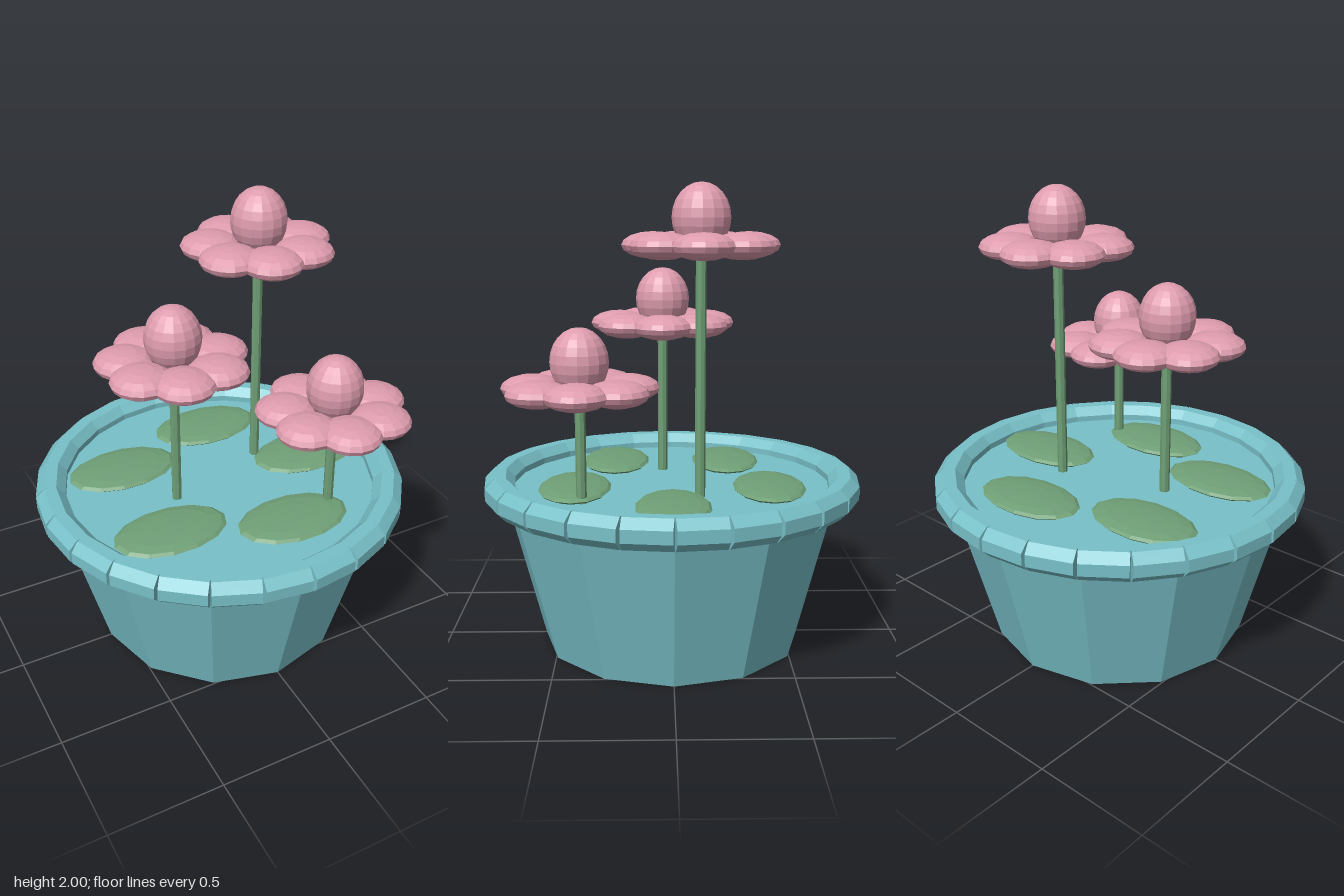
import * as THREE from 'three';

const flat = (name, color) => {
  const m = new THREE.MeshStandardMaterial({ color, flatShading: true });
  m.name = name;
  return m;
};

export function createModel() {
  const teal = flat('teal', 0x78c0c8);
  const pink = flat('pink', 0xde9cae);
  const green = flat('green', 0x6f9f76);
  const model = new THREE.Group();
  model.name = 'flowerPot';

  const add = (parent, name, geometry, material, x, y, z) => {
    const mesh = new THREE.Mesh(geometry, material);
    mesh.name = name;
    mesh.position.set(x, y, z);
    parent.add(mesh);
    return mesh;
  };
  const ellipsoid = (rx, ry, rz, w, h) => new THREE.SphereGeometry(1, w, h).scale(rx, ry, rz);

  // Tapered pot, its flat top is the bed
  const soilY = 0.705;
  add(model, 'pot', new THREE.CylinderGeometry(0.755, 0.57, soilY, 12), teal, 0, soilY / 2, 0);

  // Rim made of short octagonal bars set in a ring
  const rim = new THREE.Group();
  rim.name = 'rim';
  model.add(rim);
  const barGeometry = new THREE.CylinderGeometry(0.07, 0.07, 0.2, 8).rotateY(Math.PI / 8).rotateX(Math.PI / 2);
  for (let i = 0; i < 24; i++) {
    const a = ((i + 0.5) / 24) * Math.PI * 2;
    const bar = add(rim, 'rimSegment', barGeometry, teal, Math.cos(a) * 0.752, soilY, Math.sin(a) * 0.752);
    bar.rotation.y = -a;
  }

  // Five flat leaves lying on the bed, all pointing the same way
  const leafGeometry = ellipsoid(0.255, 0.027, 0.157, 14, 8);
  for (let i = 0; i < 5; i++) {
    const a = (i / 5) * Math.PI * 2;
    add(model, 'leaf', leafGeometry, green, Math.cos(a) * 0.45, 0.718, Math.sin(a) * 0.44);
  }

  // Flowers: stem, seven round petals and an egg-shaped centre
  const petalGeometry = ellipsoid(0.13, 0.055, 0.13, 16, 8);
  const centreGeometry = ellipsoid(0.12, 0.14, 0.12, 16, 12);
  const flowers = [
    [0.245, 1.75, -0.115],
    [-0.23, 1.388, 0.038],
    [0.34, 1.18, 0.377],
  ];
  for (const [x, y, z] of flowers) {
    const flower = new THREE.Group();
    flower.name = 'flower';
    flower.position.set(x, 0, z);
    model.add(flower);
    const length = y + 0.03 - 0.69;
    add(flower, 'stem', new THREE.CylinderGeometry(0.022, 0.022, length, 8), green, 0, 0.69 + length / 2, 0);
    for (let i = 0; i < 7; i++) {
      const a = (i / 7) * Math.PI * 2;
      const petal = add(flower, 'petal', petalGeometry, pink, Math.cos(a) * 0.2, y, Math.sin(a) * 0.2);
      petal.rotation.y = -a;
    }
    add(flower, 'flowerCentre', centreGeometry, pink, 0, y + 0.11, 0);
  }
  return model;
}
